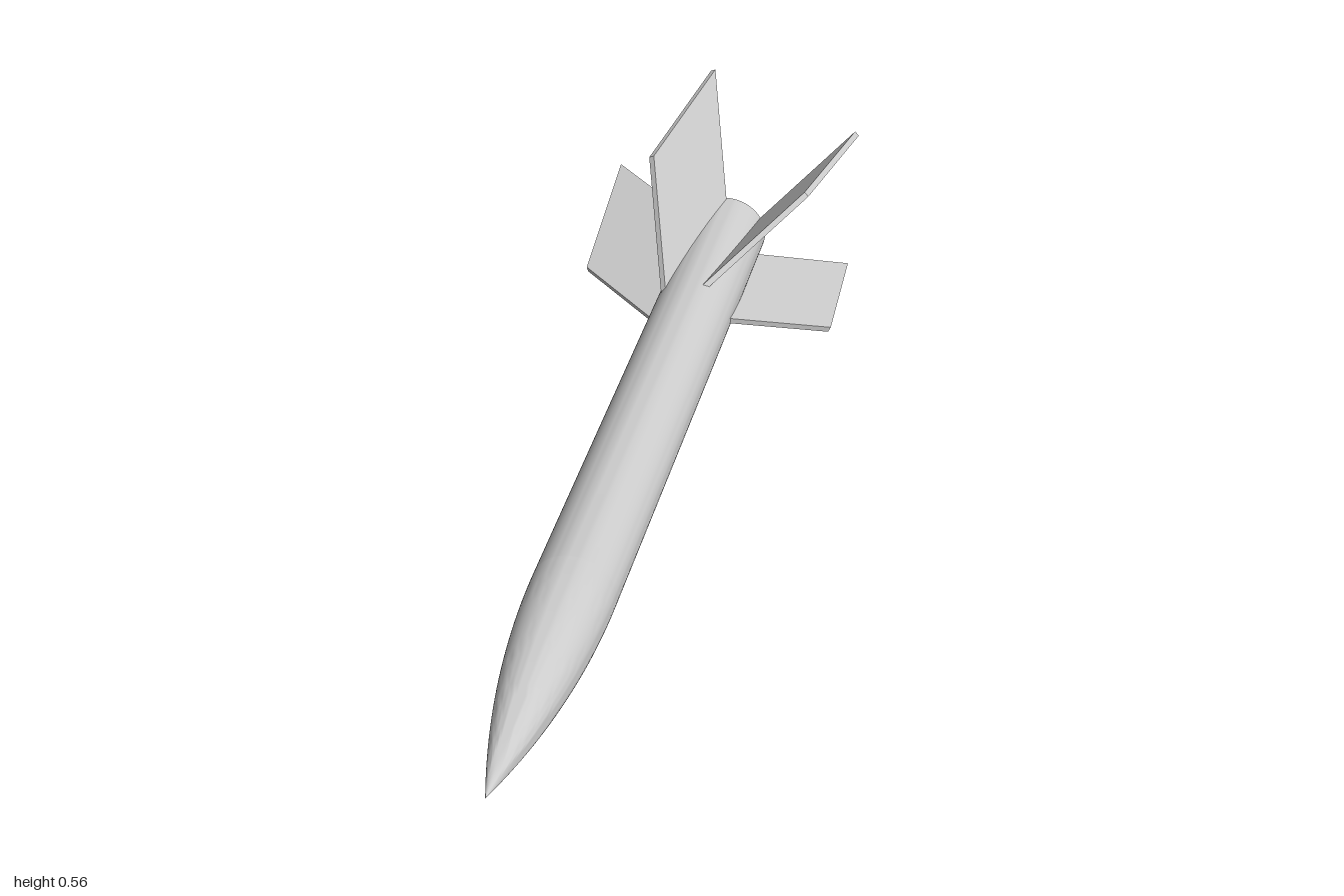
import * as THREE from 'three';
import { toCreasedNormals } from 'three/addons/utils/BufferGeometryUtils.js';

const AXIS = { x: 0.014, y: 0.283 };
const RADIUS = 0.08;
const TAIL = -0.807;
const material = new THREE.MeshStandardMaterial({ color: 0xcccccc });

// Solid of revolution around z from [radius, z] points running tail to nose
function revolve(name, points) {
  const profile = points.map(([r, z]) => new THREE.Vector2(r, z));
  const geometry = new THREE.LatheGeometry(profile, 64).rotateX(Math.PI / 2);
  const mesh = new THREE.Mesh(toCreasedNormals(geometry, 0.5), material);
  mesh.name = name;
  return mesh;
}

// Swept fin plate: x along the chord (forward), y radial, z thickness
function finGeometry(thickness) {
  const shape = new THREE.Shape();
  shape.moveTo(0.184, 0.065);
  shape.lineTo(-0.017, 0.282);
  shape.lineTo(-0.361, 0.282);
  shape.lineTo(-0.156, 0.065);
  shape.closePath();
  return new THREE.ExtrudeGeometry(shape, { depth: thickness, bevelEnabled: false })
    .translate(0, 0, -thickness / 2);
}

export function createModel() {
  const model = new THREE.Group();
  model.name = 'rocket';
  const rocket = new THREE.Group();
  rocket.position.set(AXIS.x, AXIS.y, 0);
  model.add(rocket);

  // Tube with an annular tail face
  rocket.add(revolve('bodyTube', [[0.042, TAIL], [RADIUS, TAIL], [RADIUS, 0.45]]));

  // Tangent ogive nose
  const length = 0.55;
  const rho = (RADIUS ** 2 + length ** 2) / (2 * RADIUS);
  const nose = [];
  for (let i = 0; i <= 24; i++) {
    const d = (length * i) / 24;
    nose.push([Math.max(0, Math.sqrt(rho * rho - d * d) + RADIUS - rho), 0.45 + d]);
  }
  rocket.add(revolve('noseCone', nose));

  // Hollow motor tube in the tail
  rocket.add(revolve('motorTube', [
    [0, TAIL + 0.1], [0.033, TAIL + 0.1], [0.033, TAIL - 0.003],
    [0.042, TAIL - 0.003], [0.042, TAIL + 0.02],
  ]));

  // Five canted fins
  const geometry = finGeometry(0.012);
  const cant = THREE.MathUtils.degToRad(10);
  for (let i = 0; i < 5; i++) {
    const fin = new THREE.Group();
    fin.name = `fin${i + 1}`;
    const plate = new THREE.Mesh(geometry, material);
    plate.name = 'finPlate';
    plate.position.z = -0.643;
    plate.rotation.y = -Math.PI / 2 - cant;
    fin.add(plate);
    fin.rotation.z = THREE.MathUtils.degToRad(29.5 + 72 * i);
    rocket.add(fin);
  }
  return model;
}
